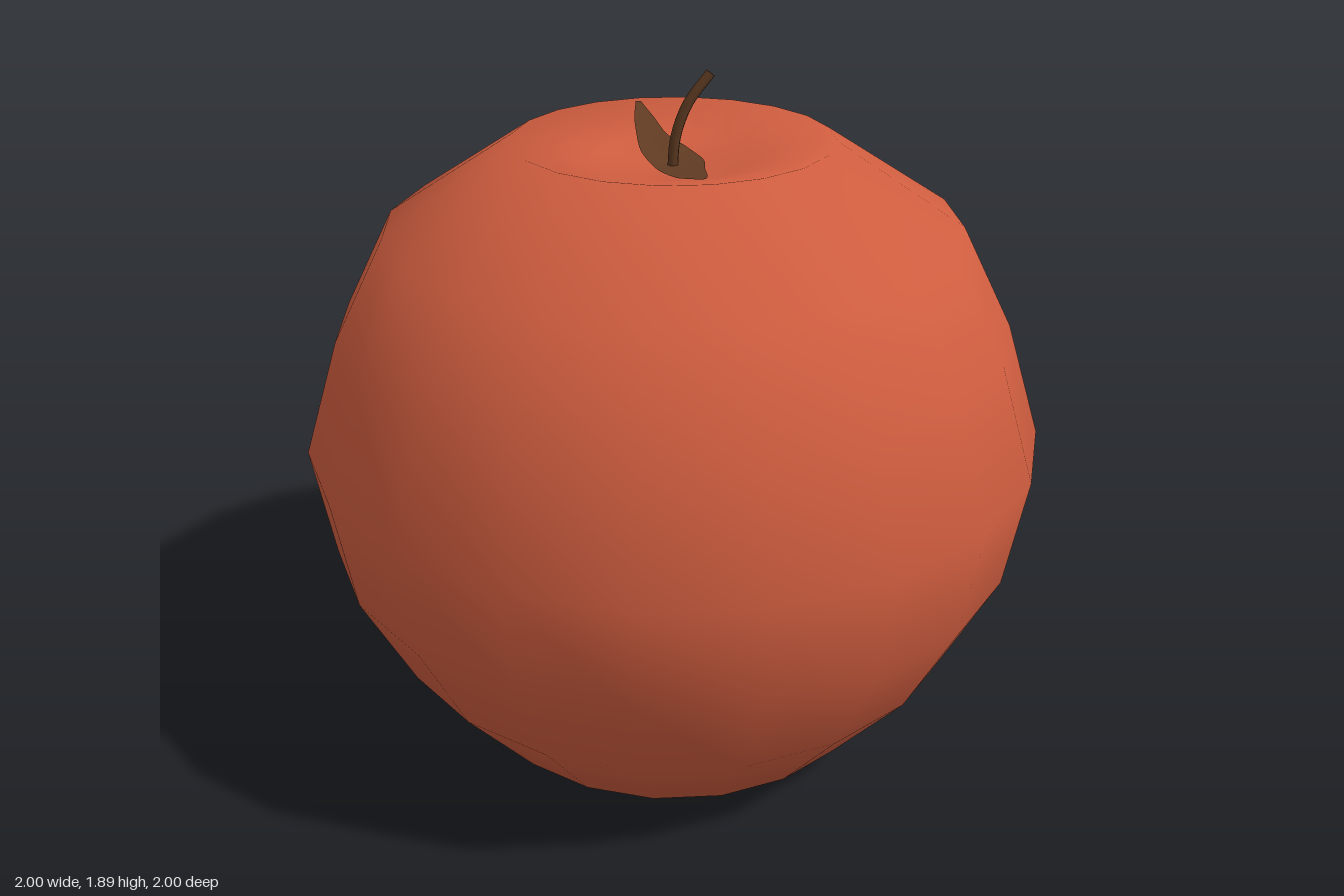
import * as THREE from 'three';

const SIDES = 20;

// Half profiles as [radius, height], from bottom centre to top centre
const LOWER = [[0, 0.035], [0.23, 0], [0.59, 0.06]];
const SIDE = [[0.81, 0.33], [0.95, 0.61], [1, 0.92], [0.9, 1.23], [0.76, 1.5]];
const UPPER = [[0.42, 1.72], [0.21, 1.668], [0, 1.64]];

// Height of the faceted skin above a point, for a profile sorted by radius
function skinHeight(profile, x, z) {
  const step = (Math.PI * 2) / SIDES;
  const angle = Math.atan2(x, z);
  const local = angle - (Math.floor(angle / step) + 0.5) * step;
  const r = (Math.hypot(x, z) * Math.cos(local)) / Math.cos(step / 2);
  let i = 1;
  while (i < profile.length - 1 && r > profile[i][0]) i++;
  const [r0, y0] = profile[i - 1];
  const [r1, y1] = profile[i];
  return y0 + ((y1 - y0) * (r - r0)) / (r1 - r0);
}

// Wavy blemish outline: [z, left x, right x]
const OUTLINE = [
  [-0.39, -0.02, -0.005], [-0.3, -0.042, 0.012], [-0.2, -0.056, 0.028], [-0.1, -0.066, 0.062],
  [0, -0.06, 0.08], [0.1, -0.054, 0.06], [0.2, -0.035, 0.042], [0.29, 0.005, 0.015],
];

// Thin patch that follows the skin; up = 1 on top, -1 underneath (mirrored in z)
function blemish(profile, up) {
  const curve = (k) => new THREE.CatmullRomCurve3(
    OUTLINE.map((p) => new THREE.Vector3(p[k], 0, p[0] * up)));
  const left = curve(1), right = curve(2);
  const rows = 48, cols = 6, pos = [], index = [];
  for (let i = 0; i <= rows; i++) {
    const a = left.getPoint(i / rows), b = right.getPoint(i / rows);
    for (let j = 0; j <= cols; j++) {
      const p = a.clone().lerp(b, j / cols);
      pos.push(p.x, skinHeight(profile, p.x, p.z) + 0.005 * up, p.z);
      if (i < rows && j < cols) {
        const n = i * (cols + 1) + j, m = n + cols + 1;
        index.push(n, m, n + 1, n + 1, m, m + 1);
      }
    }
  }
  // The z mirror reverses the winding underneath, so both patches face outward
  const g = new THREE.BufferGeometry();
  g.setAttribute('position', new THREE.Float32BufferAttribute(pos, 3));
  g.setIndex(index);
  g.computeVertexNormals();
  return g;
}

export function createModel() {
  const group = new THREE.Group();
  const material = (name, color) => {
    const m = new THREE.MeshStandardMaterial({ color });
    m.name = name;
    return m;
  };
  const skin = material('red skin', 0xcf5d3f);
  const patch = material('brown blemish', 0x623c23);
  const bark = material('stem brown', 0x5a3820);
  const add = (name, geometry, mat) => {
    const mesh = new THREE.Mesh(geometry, mat);
    mesh.name = name;
    group.add(mesh);
    return mesh;
  };

  // Fruit body with a bowl at the top and a slight hollow below
  const profile = [...LOWER, ...SIDE, ...UPPER].map(([r, y]) => new THREE.Vector2(r, y));
  add('fruitBody', new THREE.LatheGeometry(profile, SIDES), skin);

  // Blemishes around the stem and underneath
  add('topBlemish', blemish([...UPPER].reverse(), 1), patch);
  add('bottomBlemish', blemish(LOWER, -1), patch);

  // Curved stem with a capped tip
  const path = new THREE.CatmullRomCurve3([
    new THREE.Vector3(-0.003, 1.62, 0), new THREE.Vector3(0.006, 1.72, 0),
    new THREE.Vector3(0.038, 1.805, 0), new THREE.Vector3(0.097, 1.881, 0),
  ]);
  add('stem', new THREE.TubeGeometry(path, 12, 0.014, 8), bark);
  const tip = add('stemTip', new THREE.CircleGeometry(0.014, 8), bark);
  tip.position.copy(path.getPoint(1));
  tip.lookAt(path.getPoint(1).add(path.getTangent(1)));

  return group;
}
